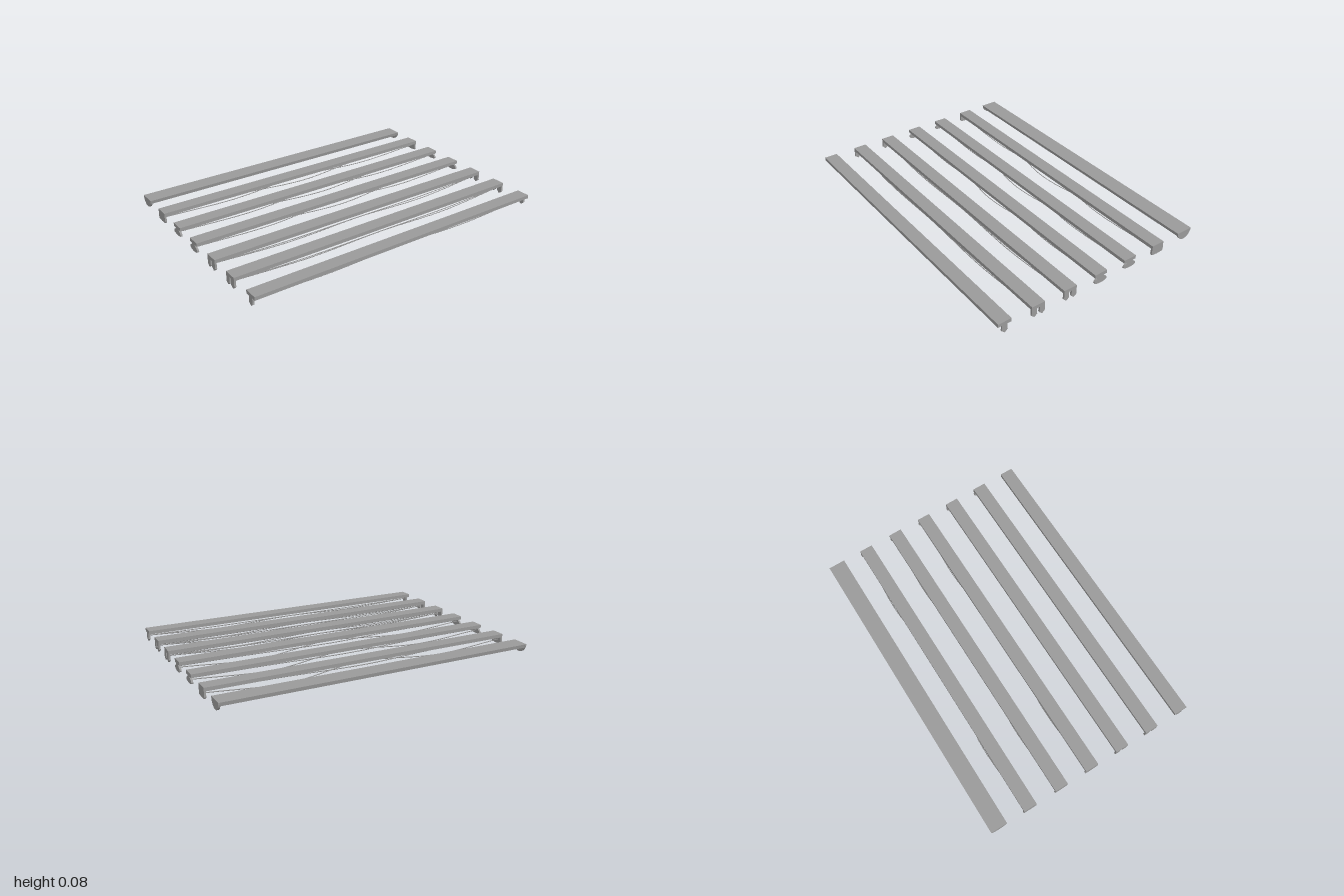
import * as THREE from 'three';

export function createModel() {
  const model = new THREE.Group();
  const grey = new THREE.MeshStandardMaterial({ color: 0x999999 });
  grey.name = 'grey';
  const TOP = 0.076, UNDER = 0.054, W = 0.043, CAP = 0.012;

  const add = (parent, geo, name) => {
    const mesh = new THREE.Mesh(geo, grey);
    mesh.name = name;
    parent.add(mesh);
    return mesh;
  };

  // Outline in (z, y), extruded along x
  const extrudeX = (points, x0, x1) => {
    const shape = new THREE.Shape(points.map(([z, y]) => new THREE.Vector2(-z, y)));
    const geo = new THREE.ExtrudeGeometry(shape, { depth: x1 - x0, bevelEnabled: false });
    return geo.rotateY(Math.PI / 2).translate(x0, 0, 0);
  };

  // End bracket outlines
  const peg = (c) => [
    [c - 0.017, UNDER], [c - 0.017, 0.026], [c - 0.019, 0.017], [c, 0],
    [c + 0.019, 0.017], [c + 0.017, 0.026], [c + 0.017, UNDER],
  ];
  const neck = (w) => [[-w, UNDER], [-w - 0.012, 0.04], [w + 0.012, 0.04], [w, UNDER]];
  const lens = (top, bottom) => Array.from({ length: 20 }, (_, i) => {
    const a = (i / 20) * Math.PI * 2, s = Math.sin(a), mid = 0.022;
    return [0.045 * Math.cos(a), mid + s * (s > 0 ? top - mid : mid - bottom)];
  });
  const block = [[-W, UNDER], [-0.045, 0.02], [-0.04, 0.011], [0, 0.008], [0.04, 0.011], [0.045, 0.02], [W, UNDER]];
  const halfRound = Array.from({ length: 17 }, (_, i) => {
    const a = Math.PI * (1 + i / 16);
    return [0.054 * Math.cos(a), TOP + 0.057 * Math.sin(a)];
  });

  // Thin strand hung between the brackets; knots are [x, y, z]
  const strand = (parent, knots) => {
    const pts = [[-0.985, 0.036, knots[0][2] * 0.4], ...knots, [0.985, 0.036, knots.at(-1)[2] * 0.4]];
    const curve = new THREE.CatmullRomCurve3(pts.map((p) => new THREE.Vector3(...p)));
    add(parent, new THREE.TubeGeometry(curve, 40, 0.003, 4), 'strand');
  };
  const pegStrands = (c, low) => [
    [[-0.5, 0.03, c], [0, 0.031, c], [0.5, 0.03, c]],
    [[-0.5, low, c], [0, 0.03, c], [0.5, low - 0.005, c]],
  ];
  const wave = (amp) => [
    [[-0.5, 0.02, -amp], [0, 0.029, amp], [0.5, 0.014, -amp]],
    [[-0.5, 0.028, amp * 0.6], [0, 0.032, -amp * 0.5], [0.5, 0.026, amp * 0.6]],
  ];

  const rails = [
    { z: 0.662, caps: [peg(0)], strands: pegStrands(0, 0.02) },
    { z: 0.443, caps: [peg(-0.026), peg(0.026)], strands: [...pegStrands(-0.026, 0.02), ...pegStrands(0.026, 0.022)] },
    { z: 0.224, caps: [peg(-0.026), peg(0.026)], strands: [...pegStrands(-0.026, 0.022), ...pegStrands(0.026, 0.02)] },
    { z: 0.004, caps: [neck(0.016), lens(0.047, 0.006)], strands: wave(0.038) },
    { z: -0.215, caps: [neck(0.016), lens(0.05, 0.012)], strands: wave(0.038) },
    { z: -0.436, caps: [block], strands: wave(0.042) },
    { z: -0.654, round: true, caps: [halfRound], strands: [] },
  ];

  for (const { z, round, caps, strands } of rails) {
    const rail = new THREE.Group();
    rail.name = 'rail';
    rail.position.z = z;
    model.add(rail);

    // Flat bar
    const half = round ? 0.054 : W;
    const low = round ? 0.05 : W;
    add(rail, extrudeX([[-half, TOP], [-low, UNDER], [low, UNDER], [half, TOP]], -1, 1), 'bar');

    // Brackets at both ends
    for (const outline of caps) {
      add(rail, extrudeX(outline, -1, -1 + CAP), 'rightBracket');
      add(rail, extrudeX(outline, 1 - CAP, 1), 'leftBracket');
    }

    // Sagging strands
    strands.forEach((knots) => strand(rail, knots));
  }
  return model;
}
